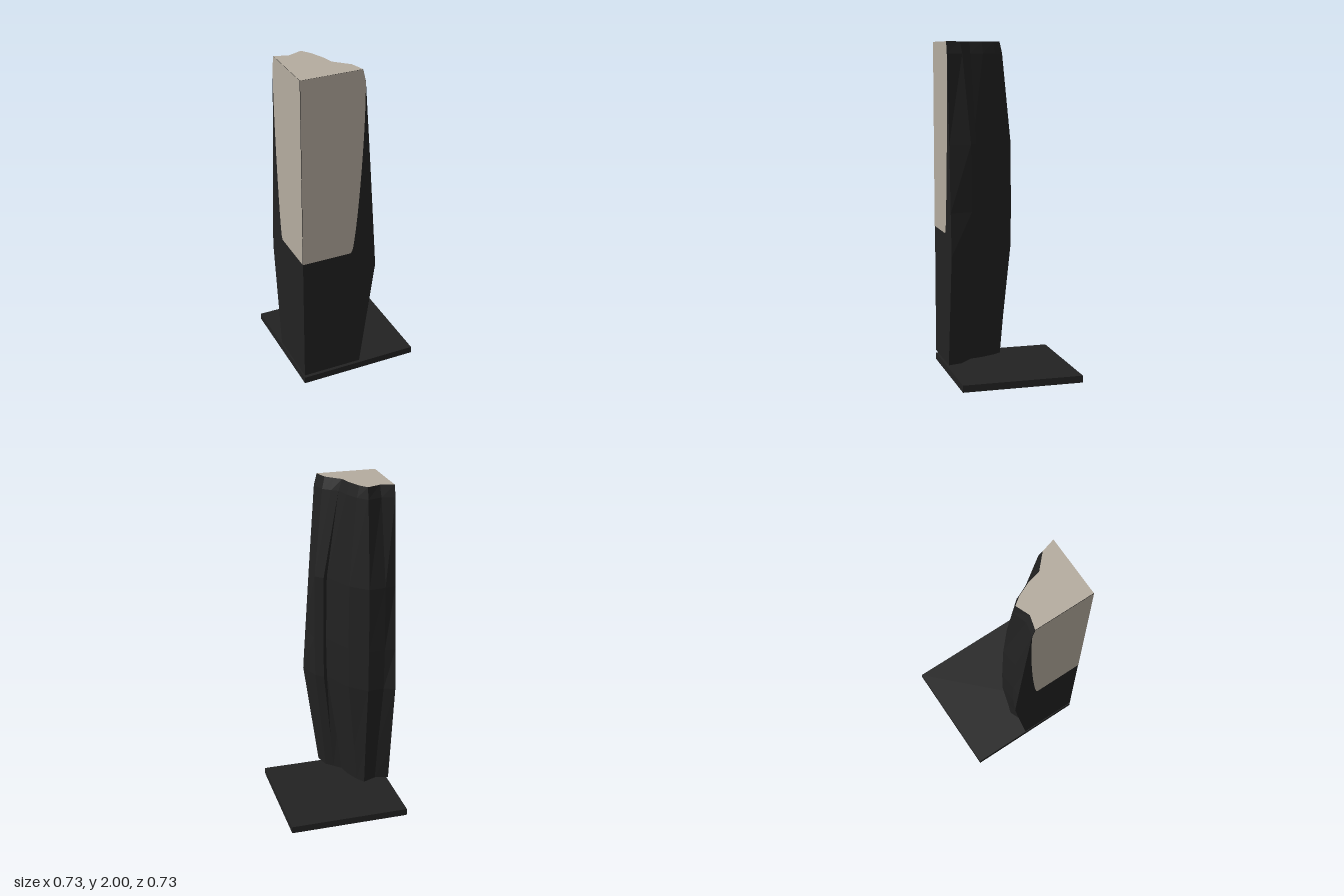
import * as THREE from 'three';

const beige = new THREE.MeshStandardMaterial({ color: 0xb5ac9f });
beige.name = 'warm beige';
const black = new THREE.MeshStandardMaterial({ color: 0x222222 });
black.name = 'charcoal black';

const H = 0.365;      // half width of the base
const TOP = 2, BOTTOM = 0.06;

// Rough broken face in plan (x, z): narrow outline at the ends, wide outline at the bulge
const narrow = [[-H, 0], [-0.283, 0.023], [-0.2, -0.01], [-0.164, 0.04], [-0.129, 0.12],
  [-0.109, 0.2], [-0.068, 0.239], [-0.025, 0.28], [0, H]];
const wide = [[-H, -0.097], [-0.3, -0.073], [-0.197, -0.082], [-0.096, 0.01], [-0.05, 0.107],
  [-0.01, 0.205], [0.012, 0.189], [0.057, 0.23], [0.097, H]];

// Each level: height, bulge of the two flat-side edges, bulge of the rough face between
const levels = [[BOTTOM, 0, 0], [0.3, 0.35, 0.3], [0.74, 1, 0.95], [1, 0.83, 1],
  [1.4, 0.56, 0.94], [1.93, 0.18, 0.22], [TOP, 0, 0]];

function ring([y, edge, middle]) {
  const pts = narrow.map(([x, z], i) => {
    const f = i === 0 || i === narrow.length - 1 ? edge : middle;
    return [x + (wide[i][0] - x) * f, y, z + (wide[i][1] - z) * f];
  });
  pts.push([-H, y, H]);   // square corner
  return pts;
}

// Flat-shaded skin between successive rings
function columnSides() {
  const rings = levels.map(ring);
  const pos = [];
  for (let j = 0; j < rings.length - 1; j++) {
    const lo = rings[j], hi = rings[j + 1];
    for (let i = 0; i < lo.length; i++) {
      const k = (i + 1) % lo.length;
      pos.push(...lo[i], ...hi[i], ...lo[k], ...lo[k], ...hi[i], ...hi[k]);
    }
  }
  const g = new THREE.BufferGeometry();
  g.setAttribute('position', new THREE.Float32BufferAttribute(pos, 3));
  g.computeVertexNormals();
  return g;
}

// Horizontal end cap, facing up (sign 1) or down (sign -1)
function cap(y, sign) {
  const pts = [...narrow, [-H, H]].map(([x, z]) => new THREE.Vector2(x, -sign * z));
  return new THREE.ShapeGeometry(new THREE.Shape(pts))
    .rotateX(-sign * Math.PI / 2).translate(0, y, 0);
}

// Pale panel with a curved free edge; flip mirrors it for the other flat side
function panel(flip) {
  const s = new THREE.Shape();
  s.moveTo(-H * flip, 0.86);
  s.lineTo(-0.07 * flip, 0.86);
  s.quadraticCurveTo(-0.055 * flip, 0.86, -0.047 * flip, 0.91);
  s.bezierCurveTo(-0.02 * flip, 1.08, 0.002 * flip, 1.42, 0.01 * flip, 1.6);
  s.quadraticCurveTo(0.018 * flip, 1.78, 0.016 * flip, 1.93);
  s.lineTo(0, TOP);
  s.lineTo(-H * flip, TOP);
  s.closePath();
  return new THREE.ShapeGeometry(s, 10);
}

export function createModel() {
  const model = new THREE.Group();
  model.name = 'brokenPillarOnBase';
  const add = (name, geometry, material) => {
    const m = new THREE.Mesh(geometry, material);
    m.name = name;
    model.add(m);
    return m;
  };

  // Square base slab, with a narrow gap below the column
  add('baseSlab', new THREE.BoxGeometry(2 * H, 0.042, 2 * H).translate(0, 0.021, 0), black);

  // Column
  add('columnSides', columnSides(), black);
  add('columnUnderside', cap(BOTTOM, -1), black);
  add('columnTop', cap(TOP, 1), beige);

  // Pale panels on the two flat sides
  add('frontPanel', panel(1), beige).position.z = H + 0.002;
  const side = add('sidePanel', panel(-1), beige);
  side.rotation.y = -Math.PI / 2;
  side.position.x = -H - 0.002;

  return model;
}
